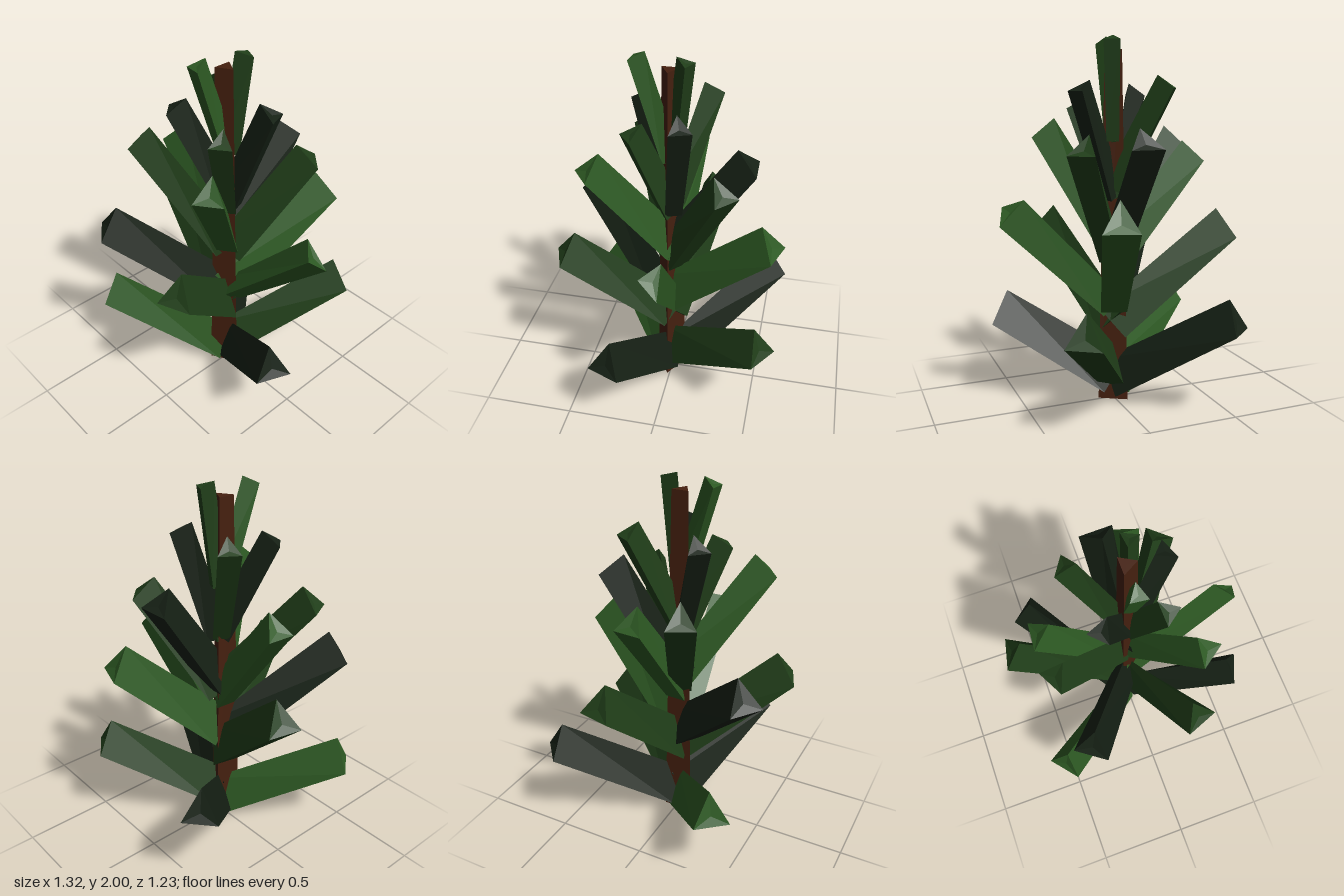
import * as THREE from 'three';

const paint = (color) => new THREE.MeshStandardMaterial({ color, flatShading: true });
const bark = paint(0x45200f);
const dark = paint(0x162115);
const mid = paint(0x203e19);
const bright = paint(0x2d5923);

// Layers of three-sided branches: [tip x, y, z, height of its base, material, roll, sideways scale]
const layers = [
  { name: 'bottomBranch', radius: 0.11, branches: [
    [-0.54, 0.45, 0.447, 0.07, bright],
    [-0.47, 0.53, -0.535, 0.08, dark],
    [0.36, 0.55, -0.545, 0.14, mid],
    [0.585, 0.5, 0.235, 0.1, dark],
  ] },
  { name: 'lowerBranch', radius: 0.107, branches: [
    [-0.62, 0.955, -0.14, 0.41, mid],
    [-0.38, 1.045, 0.53, 0.5, dark],
    [0.21, 0.93, 0.545, 0.42, mid],
    [0.58, 1.095, -0.03, 0.54, bright, Math.PI / 2, 0.55],
    [0.18, 1.09, -0.555, 0.55, bright],
  ] },
  { name: 'middleBranch', radius: 0.088, branches: [
    [-0.46, 1.36, -0.035, 0.78, bright],
    [-0.45, 1.43, 0.23, 0.83, mid],
    [0.27, 1.48, 0.37, 0.88, bright],
    [0.275, 1.42, -0.305, 0.81, mid],
    [-0.01, 1.45, -0.405, 0.87, dark, 0, 1.2],
  ] },
  { name: 'upperBranch', radius: 0.068, branches: [
    [-0.25, 1.74, -0.16, 1.18, mid],
    [-0.195, 1.7, 0.19, 1.16, dark],
    [0.14, 1.63, 0.18, 1.12, mid],
    [0.215, 1.72, -0.08, 1.14, dark],
  ] },
  { name: 'topBranch', radius: 0.05, branches: [
    [-0.02, 1.97, 0.185, 1.43, bright],
    [0.035, 1.975, -0.075, 1.45, mid],
  ] },
];

// A triangular prism leaning outward from the trunk: the root is narrower with a
// higher ridge, and the ridge runs a little past the lower corners at the tip
function makeBranch(name, radius, [x, y, z, baseY, material, roll = 0, flat = 1]) {
  const tip = new THREE.Vector3(x, y, z);
  const base = new THREE.Vector3(x, 0, z).setLength(0.02).setY(baseY);
  const along = tip.clone().sub(base);
  const length = along.length();
  along.normalize();
  const side = along.clone().cross(new THREE.Vector3(0, 1, 0)).normalize();
  const ridge = side.clone().cross(along);
  const geometry = new THREE.CylinderGeometry(radius, radius, length, 3);
  const points = geometry.attributes.position;
  for (let i = 0; i < points.count; i++) {
    const atRoot = points.getY(i) < 0;
    const onRidge = points.getZ(i) > radius / 2;
    if (atRoot) points.setX(i, points.getX(i) * 0.78);
    if (onRidge) points.setZ(i, radius * (atRoot ? 1.45 : 1.15));
    if (onRidge && !atRoot) points.setY(i, length / 2 + radius * 0.3);
  }
  geometry.rotateY(roll).scale(flat, 1, 1);
  geometry.applyMatrix4(new THREE.Matrix4().makeBasis(side, along, ridge));
  geometry.computeVertexNormals();
  const mesh = new THREE.Mesh(geometry, material);
  mesh.position.copy(base).add(tip).multiplyScalar(0.5);
  mesh.name = name;
  return mesh;
}

export function createModel() {
  const tree = new THREE.Group();
  tree.name = 'tree';

  // Tapered three-sided trunk with one edge towards +x
  const trunkGeometry = new THREE.CylinderGeometry(0.053, 0.095, 1.925, 3);
  trunkGeometry.rotateY(Math.PI / 2);
  const trunk = new THREE.Mesh(trunkGeometry, bark);
  trunk.position.set(-0.01, 0.9625, 0.013);
  trunk.name = 'trunk';
  tree.add(trunk);

  for (const { name, radius, branches } of layers) {
    const layer = new THREE.Group();
    layer.name = `${name}Layer`;
    branches.forEach((branch, i) => layer.add(makeBranch(`${name}${i + 1}`, radius, branch)));
    tree.add(layer);
  }
  return tree;
}
